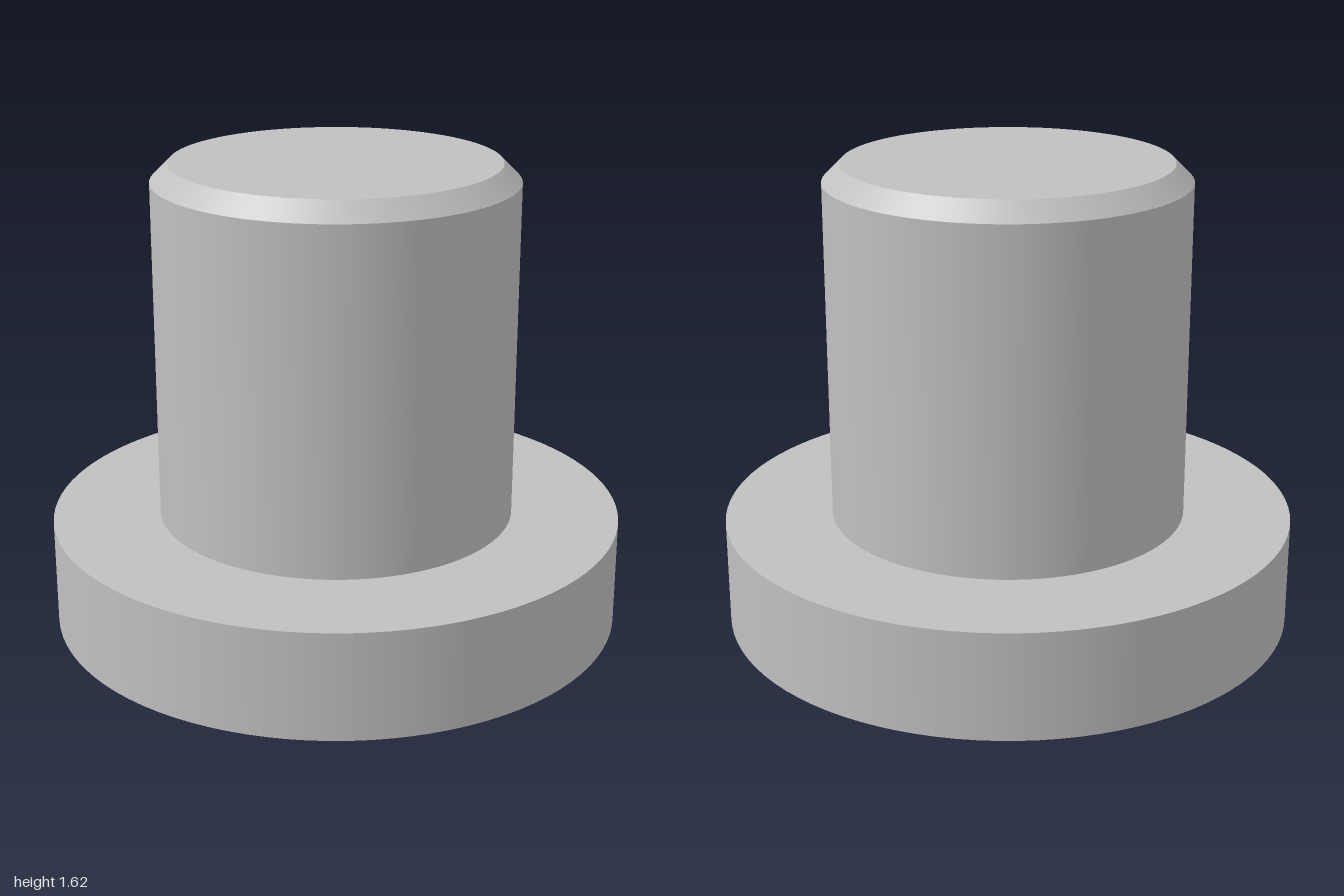
import * as THREE from 'three';

const SEGMENTS = 96;

export function createModel() {
  const model = new THREE.Group();
  model.name = 'flangedPin';

  const steel = new THREE.MeshStandardMaterial({ color: 0xc0c0c0 });
  steel.name = 'light grey metal';

  const flangeRadius = 1, flangeTop = 0.375;
  const pinRadius = 0.625, pinTop = 1.625, chamfer = 0.0625;

  function add(name, geometry) {
    const mesh = new THREE.Mesh(geometry, steel);
    mesh.name = name;
    model.add(mesh);
  }

  // Open conical or straight wall between two heights
  function wall(name, bottomRadius, topRadius, y0, y1) {
    const g = new THREE.CylinderGeometry(topRadius, bottomRadius, y1 - y0, SEGMENTS, 1, true);
    add(name, g.translate(0, (y0 + y1) / 2, 0));
  }

  // Flat disc or ring, facing up (1) or down (-1)
  function face(name, inner, outer, y, facing) {
    const g = inner > 0
      ? new THREE.RingGeometry(inner, outer, SEGMENTS)
      : new THREE.CircleGeometry(outer, SEGMENTS);
    add(name, g.rotateX(-facing * Math.PI / 2).translate(0, y, 0));
  }

  // Flange
  face('flangeBottom', 0, flangeRadius, 0, -1);
  wall('flangeRim', flangeRadius, flangeRadius, 0, flangeTop);
  face('flangeShoulder', pinRadius, flangeRadius, flangeTop, 1);

  // Pin with chamfered tip
  wall('pinShaft', pinRadius, pinRadius, flangeTop, pinTop - chamfer);
  wall('pinChamfer', pinRadius, pinRadius - chamfer, pinTop - chamfer, pinTop);
  face('pinTop', 0, pinRadius - chamfer, pinTop, 1);

  return model;
}
